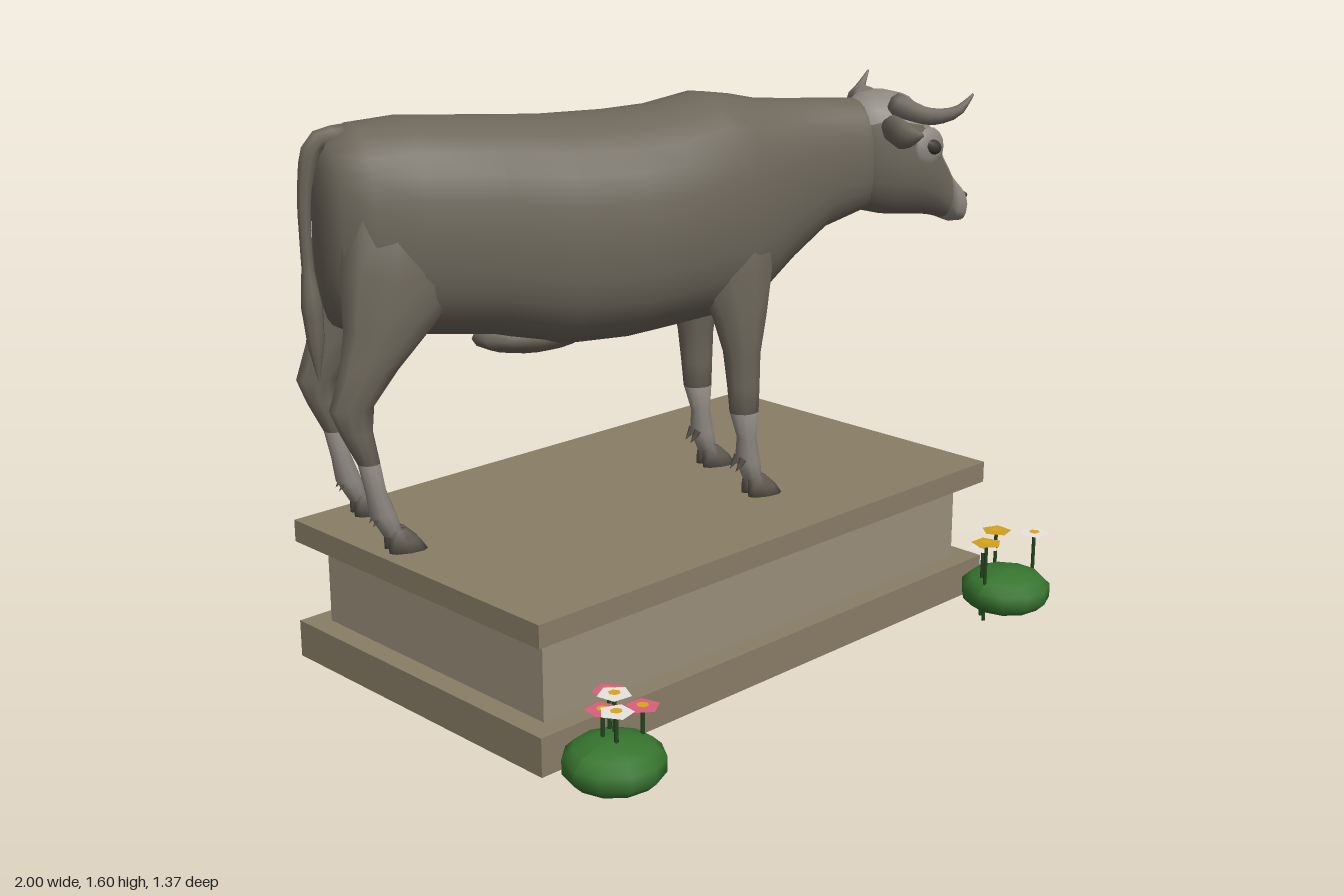
import * as THREE from 'three';

const mat = (color, side = THREE.FrontSide) => new THREE.MeshStandardMaterial({ color, side, roughness: 0.9 });
const HIDE = mat(0x6d675b), PALE = mat(0x8d8880), HORN = mat(0x78736a), HOOF = mat(0x5d574d), DARK = mat(0x3a3631);
const SLAB = mat(0x897d66), PLINTH = mat(0x9a8f7a), LEAF = mat(0x37752f), STEM = mat(0x24481f);
const V = (x, y, z) => new THREE.Vector3(x, y, z);

function add(parent, name, geometry, material, x = 0, y = 0, z = 0) {
  const m = new THREE.Mesh(geometry, material);
  m.name = name;
  m.position.set(x, y, z);
  parent.add(m);
  return m;
}

// Skin a list of point rings; closed rings get end caps
function skin(rings, closed = true) {
  const n = rings[0].length, pos = [], idx = [];
  rings.forEach(r => r.forEach(p => pos.push(p.x, p.y, p.z)));
  for (let i = 0; i < rings.length - 1; i++)
    for (let j = 0; j < (closed ? n : n - 1); j++) {
      const k = (j + 1) % n, a = i * n + j, b = i * n + k, c = a + n, d = b + n;
      idx.push(a, c, b, b, c, d);
    }
  if (closed) [0, rings.length - 1].forEach(i => {
    const c = rings[i].reduce((s, p) => s.add(p), V(0, 0, 0)).divideScalar(n);
    const ci = pos.length / 3;
    pos.push(c.x, c.y, c.z);
    for (let j = 0; j < n; j++) {
      const a = i * n + j, b = i * n + (j + 1) % n;
      i ? idx.push(ci, b, a) : idx.push(ci, a, b);
    }
  });
  const g = new THREE.BufferGeometry();
  g.setAttribute('position', new THREE.Float32BufferAttribute(pos, 3));
  g.setIndex(idx);
  g.computeVertexNormals();
  return g;
}

const pw = (v, e) => Math.sign(v) * Math.pow(Math.abs(v), 2 / e);

// Sections across the length: [x, top, bottom, halfWidth, z]
function lengthLoft(secs, e, from = 0, to = 360, n = 18) {
  const closed = to - from === 360, count = closed ? n : n + 1;
  return skin(secs.map(([x, top, bot, hw, z = 0]) => Array.from({ length: count }, (_, j) => {
    const a = THREE.MathUtils.degToRad(from + (to - from) * j / n);
    return V(x, (top + bot) / 2 + pw(Math.sin(a), e) * (top - bot) / 2, z + pw(Math.cos(a), e) * hw);
  })), closed);
}

// Sections up the height: [y, x, z, halfDepth, halfWidth]; z is mirrored by side
function heightLoft(secs, side = 1, n = 10) {
  return skin(secs.map(([y, x, z, hd, hw]) => Array.from({ length: n }, (_, j) => {
    const a = j / n * Math.PI * 2;
    return V(x + Math.cos(a) * hd, y, z * side + Math.sin(a) * hw);
  })));
}

// Tube along a curve whose radius runs through a list
function taperTube(points, radii, steps = 10, n = 8) {
  const curve = new THREE.CatmullRomCurve3(points), f = curve.computeFrenetFrames(steps);
  return skin(Array.from({ length: steps + 1 }, (_, i) => {
    const t = i / steps * (radii.length - 1), k = Math.min(Math.floor(t), radii.length - 2);
    const r = THREE.MathUtils.lerp(radii[k], radii[k + 1], t - k), c = curve.getPointAt(i / steps);
    return Array.from({ length: n }, (_, j) => {
      const a = j / n * Math.PI * 2;
      return c.clone().addScaledVector(f.normals[i], Math.cos(a) * r).addScaledVector(f.binormals[i], -Math.sin(a) * r);
    });
  }));
}

function makeLeg(cow, name, upper, lower, side, hoofX, zMid) {
  const leg = new THREE.Group();
  leg.name = name;
  leg.position.z = zMid;
  cow.add(leg);
  add(leg, 'upperLeg', heightLoft(upper, side), HIDE);
  add(leg, 'lowerLeg', heightLoft(lower, side), PALE);
  const z = lower[0][2] * side;
  for (const t of [-1, 1]) {
    add(leg, 'toe', heightLoft([
      [0.42, hoofX + 0.015, z + t * 0.022, 0.055, 0.022],
      [0.45, hoofX + 0.005, z + t * 0.02, 0.046, 0.021],
      [0.485, hoofX - 0.012, z + t * 0.016, 0.026, 0.017]], 1, 8), HOOF);
    const claw = add(leg, 'dewclaw', new THREE.ConeGeometry(0.014, 0.045, 6), HOOF, hoofX - 0.068, 0.52, z + t * 0.018);
    claw.rotation.z = 2.5;
  }
}

function makeHead(cow) {
  const head = new THREE.Group();
  head.name = 'head';
  head.position.z = 0.025;
  cow.add(head);
  const skull = [[0.66, 1.54, 1.24, 0.085], [0.70, 1.565, 1.21, 0.115], [0.76, 1.572, 1.195, 0.135],
    [0.83, 1.555, 1.19, 0.142], [0.885, 1.485, 1.185, 0.128], [0.94, 1.39, 1.175, 0.098], [0.975, 1.335, 1.165, 0.082]];
  add(head, 'cheeksAndJaw', lengthLoft(skull, 2.4, 150, 390, 14), HIDE);
  add(head, 'face', lengthLoft(skull, 2.4, 30, 150, 8), PALE);
  add(head, 'muzzle', lengthLoft([[0.97, 1.335, 1.165, 0.082], [1.0, 1.295, 1.152, 0.078],
    [1.03, 1.262, 1.152, 0.074], [1.048, 1.232, 1.18, 0.05]], 2.5), PALE);
  for (const s of [-1, 1]) {
    const patch = add(head, 'eyePatch', new THREE.SphereGeometry(0.062, 12, 8), PALE, 0.855, 1.405, s * 0.118);
    patch.scale.z = 0.42;
    patch.rotation.y = s * 0.25;
    const eye = add(head, 'eye', new THREE.SphereGeometry(0.03, 10, 8), DARK, 0.86, 1.41, s * 0.137);
    eye.scale.set(1, 0.75, 0.6);
    eye.rotation.z = -0.4;
    const nostril = add(head, 'nostril', new THREE.SphereGeometry(0.014, 8, 6), DARK, 1.037, 1.235, s * 0.04);
    nostril.scale.y = 0.7;
    add(head, 'horn', taperTube([V(0.76, 1.535, s * 0.09), V(0.77, 1.525, s * 0.15), V(0.80, 1.515, s * 0.22),
      V(0.85, 1.535, s * 0.275), V(0.89, 1.585, s * 0.295)], [0.036, 0.03, 0.025, 0.017, 0.003]), HORN);
    const ear = add(head, 'ear', taperTube([V(0, 0, 0), V(-0.012, 0.0, s * 0.06), V(-0.005, -0.01, s * 0.12),
      V(0.03, 0.0, s * 0.185)], [0.018, 0.042, 0.046, 0.03, 0.004]), HIDE, 0.715, 1.475, s * 0.10);
    ear.scale.x = 0.6;
  }
}

function makeCow() {
  const cow = new THREE.Group();
  cow.name = 'cow';
  cow.position.z = -0.175;
  cow.rotation.y = THREE.MathUtils.degToRad(-19);
  add(cow, 'body', lengthLoft([
    [-0.96, 1.46, 1.12, 0.07], [-0.935, 1.535, 1.03, 0.15], [-0.86, 1.575, 0.99, 0.2], [-0.72, 1.585, 0.99, 0.238],
    [-0.5, 1.572, 0.965, 0.242], [-0.3, 1.56, 0.915, 0.265], [-0.1, 1.56, 0.915, 0.275], [0.03, 1.568, 0.93, 0.272],
    [0.17, 1.597, 0.945, 0.25], [0.26, 1.585, 0.955, 0.225], [0.34, 1.568, 1.0, 0.195], [0.44, 1.56, 1.08, 0.155],
    [0.56, 1.555, 1.17, 0.115, 0.01], [0.66, 1.55, 1.205, 0.105, 0.02], [0.73, 1.53, 1.23, 0.1, 0.025]], 2.4, 0, 360, 24), HIDE);
  const belly = add(cow, 'bellyFold', new THREE.SphereGeometry(1, 12, 8), HIDE, -0.36, 0.945, 0);
  belly.scale.set(0.18, 0.055, 0.1);
  makeHead(cow);

  const hindUpper = [[0.68, -0.90, 0.165, 0.031, 0.029], [0.77, -0.93, 0.166, 0.045, 0.034], [0.84, -0.94, 0.165, 0.062, 0.04],
    [0.94, -0.885, 0.163, 0.085, 0.055], [1.05, -0.82, 0.155, 0.13, 0.07], [1.2, -0.76, 0.145, 0.19, 0.085], [1.42, -0.74, 0.12, 0.17, 0.08]];
  const hindLower = [[0.465, -0.84, 0.163, 0.028, 0.03], [0.53, -0.868, 0.163, 0.037, 0.036],
    [0.6, -0.885, 0.165, 0.029, 0.027], [0.68, -0.90, 0.165, 0.031, 0.029]];
  const foreUpper = [[0.68, 0.228, 0.155, 0.045, 0.038], [0.76, 0.225, 0.155, 0.05, 0.042], [0.86, 0.22, 0.153, 0.056, 0.052],
    [0.97, 0.215, 0.145, 0.085, 0.065], [1.1, 0.2, 0.13, 0.13, 0.075], [1.3, 0.18, 0.12, 0.13, 0.08]];
  const foreLower = [[0.465, 0.26, 0.152, 0.028, 0.03], [0.53, 0.243, 0.152, 0.038, 0.036],
    [0.6, 0.238, 0.154, 0.03, 0.028], [0.68, 0.228, 0.155, 0.045, 0.038]];
  for (const [side, s] of [['left', 1], ['right', -1]]) {
    makeLeg(cow, side + 'HindLeg', hindUpper, hindLower, s, -0.82, 0);
    makeLeg(cow, side + 'FrontLeg', foreUpper, foreLower, s, 0.275, 0.025);
  }

  // Tail with a thicker tuft at its end
  add(cow, 'tail', taperTube([V(-0.88, 1.545, 0), V(-0.955, 1.53, 0), V(-0.99, 1.42, 0), V(-0.995, 1.2, 0),
    V(-0.985, 1.02, 0), V(-0.98, 0.88, 0)], [0.03, 0.028, 0.02, 0.017, 0.017, 0.03, 0.024, 0.003], 21), HIDE);
  return cow;
}

// Leafy mound with flowers listed as [dx, z, height, petal colour]
function makeBush(x, flowers) {
  const bush = new THREE.Group();
  bush.name = 'flowerBush';
  bush.position.set(x, 0, 0.55);
  const g = new THREE.SphereGeometry(1, 11, 7), p = g.attributes.position;
  for (let i = 0; i < p.count; i++) p.setY(i, Math.max(pw(p.getY(i), 2.5), -0.85));
  g.computeVertexNormals();
  add(bush, 'leaves', g, LEAF, 0, 0.073, 0).scale.set(0.138, 0.067, 0.138);
  flowers.forEach(([dx, dz, h, color], i) => {
    add(bush, 'stem', new THREE.CylinderGeometry(0.006, 0.006, h, 5), STEM, dx, h / 2, dz);
    const petals = add(bush, 'petals', new THREE.CircleGeometry(0.047, 5), mat(color, THREE.DoubleSide), dx, h, dz);
    petals.rotation.set(-Math.PI / 2, 0, i * 0.9);
    const heart = add(bush, 'flowerCentre', new THREE.CircleGeometry(0.017, 6), mat(0xd9a520, THREE.DoubleSide), dx, h + 0.004, dz);
    heart.rotation.x = -Math.PI / 2;
  });
  return bush;
}

export function createModel() {
  const model = new THREE.Group();
  model.name = 'cowOnPedestal';
  const pedestal = new THREE.Group();
  pedestal.name = 'pedestal';
  pedestal.position.set(0.005, 0, -0.155);
  model.add(pedestal);
  add(pedestal, 'baseSlab', new THREE.BoxGeometry(1.82, 0.11, 1.07), SLAB, 0, 0.055, 0);
  add(pedestal, 'plinth', new THREE.BoxGeometry(1.69, 0.245, 0.94), PLINTH, 0, 0.2325, 0);
  add(pedestal, 'topSlab', new THREE.BoxGeometry(1.82, 0.065, 1.07), SLAB, 0, 0.3875, 0);

  model.add(makeCow());

  const white = 0xe8e4e0, pink = 0xd9607c, yellow = 0xd0a020;
  model.add(makeBush(-0.81, [[0.04, -0.06, 0.235, pink], [0.09, 0.01, 0.2, pink], [-0.01, 0.02, 0.22, white],
    [0.03, -0.03, 0.24, white], [-0.01, -0.03, 0.21, pink]]));
  model.add(makeBush(0.82, [[-0.08, -0.03, 0.22, white], [-0.105, 0.0, 0.25, yellow],
    [0.08, -0.1, 0.215, yellow], [0.125, 0.01, 0.225, white]]));
  return model;
}
